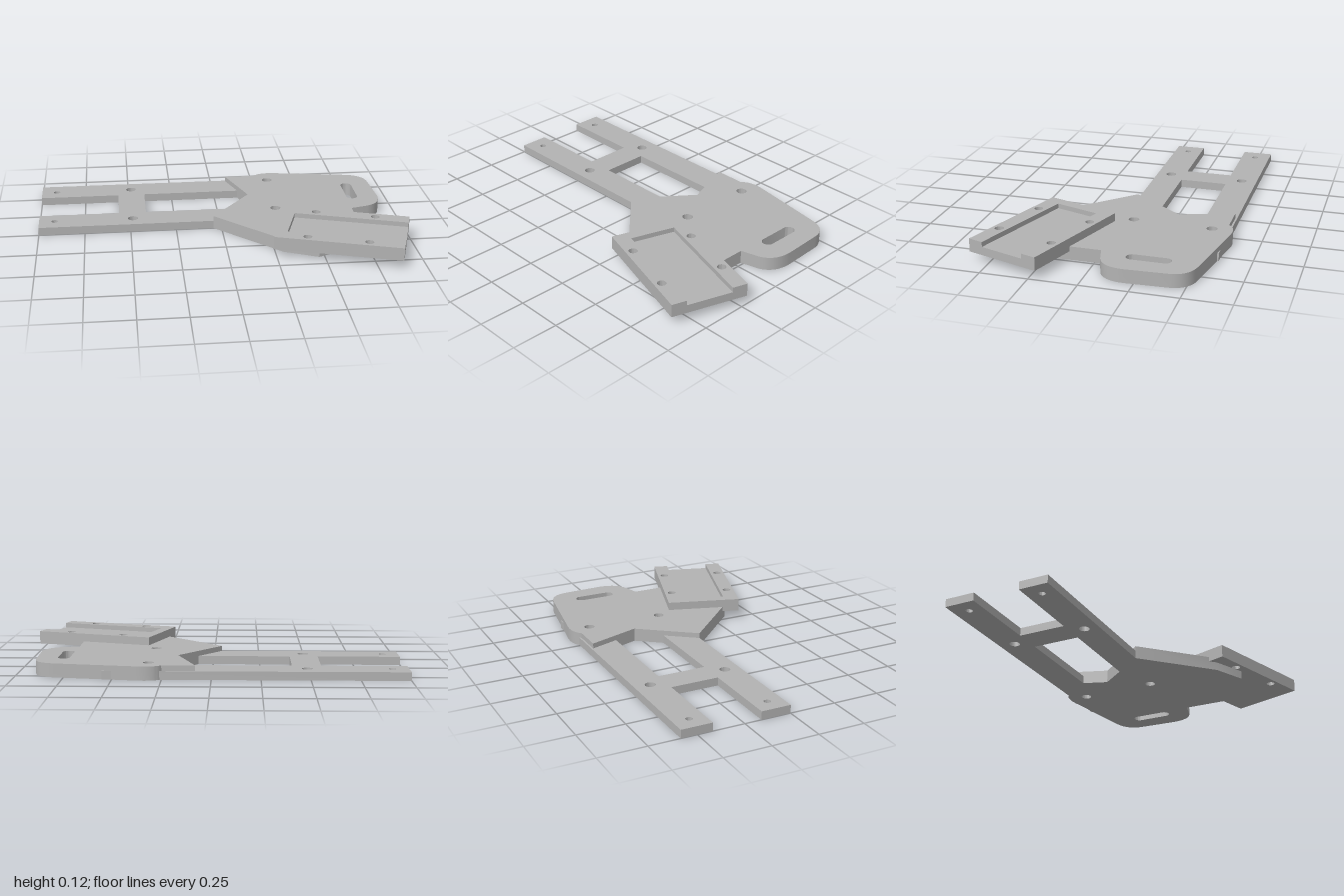
import * as THREE from 'three';
import { toCreasedNormals } from 'three/addons/utils/BufferGeometryUtils.js';

// Plan outline from [x, z] points; a four-number entry is a curve [controlX, controlZ, x, z]
function outline(points) {
  const s = new THREE.Shape();
  points.forEach((p, i) => {
    if (i === 0) s.moveTo(p[0], -p[1]);
    else if (p.length === 4) s.quadraticCurveTo(p[0], -p[1], p[2], -p[3]);
    else s.lineTo(p[0], -p[1]);
  });
  s.closePath();
  return s;
}

function drill(shape, holes) {
  for (const [x, z, r] of holes) {
    shape.holes.push(new THREE.Path().absarc(x, -z, r, 0, Math.PI * 2, true));
  }
}

// Flat plate standing between heights y0 and y1
function plate(name, shape, y0, y1, material) {
  const extruded = new THREE.ExtrudeGeometry(shape, { depth: y1 - y0, bevelEnabled: false, curveSegments: 14 });
  extruded.rotateX(-Math.PI / 2);
  extruded.translate(0, y0, 0);
  const mesh = new THREE.Mesh(toCreasedNormals(extruded, 0.6), material);
  mesh.name = name;
  return mesh;
}

export function createModel() {
  const model = new THREE.Group();
  model.name = 'mountingBracket';
  const grey = new THREE.MeshStandardMaterial({ color: 0xb3b3b3 });
  grey.name = 'grey';

  // Two long rails joined by a cross bar
  const rails = outline([
    [-1, -0.585], [-1, -0.42], [-0.56, -0.42], [-0.56, -0.16], [-1, -0.16], [-1, 0],
    [0.55, 0], [0.55, -0.585],
  ]);
  rails.holes.push(outline([[-0.41, -0.42], [0.35, -0.42], [0.35, -0.16], [-0.41, -0.16]]));
  const plateHoles = [[0.32, -0.5, 0.028], [0.31, -0.08, 0.028]];
  drill(rails, [
    [-0.915, -0.5, 0.018], [-0.915, -0.08, 0.018],
    [-0.485, -0.5, 0.028], [-0.485, -0.08, 0.028], ...plateHoles,
  ]);
  model.add(plate('railFrame', rails, 0, 0.044, grey));

  // Thicker plate with a rounded handle end
  const body = outline([
    [-0.045, 0], [0.295, 0.34], [0.47, 0.42], [0.735, 0.3], [0.735, -0.035], [0.83, -0.06],
    [0.915, -0.09, 0.917, -0.2], [0.907, -0.42], [0.9, -0.515, 0.8, -0.535],
    [0.4, -0.602], [0.29, -0.625, 0.25, -0.575], [0.08, -0.575], [0.18, -0.29],
  ]);
  drill(body, plateHoles);
  // Rounded slot in the handle
  const slot = new THREE.Path();
  slot.absarc(0.77, 0.37, 0.031, 0, Math.PI, false);
  slot.absarc(0.77, 0.203, 0.031, Math.PI, Math.PI * 2, false);
  slot.closePath();
  body.holes.push(slot);
  model.add(plate('mainPlate', body, 0, 0.072, grey));

  // Angled tray: drilled floor with a C-shaped rim, open at the outer end
  const tray = new THREE.Group();
  tray.name = 'tray';
  const length = 0.672, width = 0.41;
  const trayHoles = [];
  for (const x of [0.17, 0.49]) for (const z of [0.04, 0.37]) trayHoles.push([x, z, 0.023]);
  const floor = outline([[0, 0], [0, width], [length, width], [length, 0]]);
  const rim = outline([
    [0, 0], [0, width], [length, width], [length, 0.328],
    [0.058, 0.328], [0.058, 0.081], [length, 0.081], [length, 0],
  ]);
  drill(floor, trayHoles);
  drill(rim, trayHoles);
  tray.add(plate('trayFloor', floor, 0.046, 0.09, grey));
  tray.add(plate('trayRim', rim, 0.09, 0.116, grey));
  tray.position.set(0.358, 0, 0.008);
  tray.rotation.y = -0.31;
  model.add(tray);

  return model;
}
